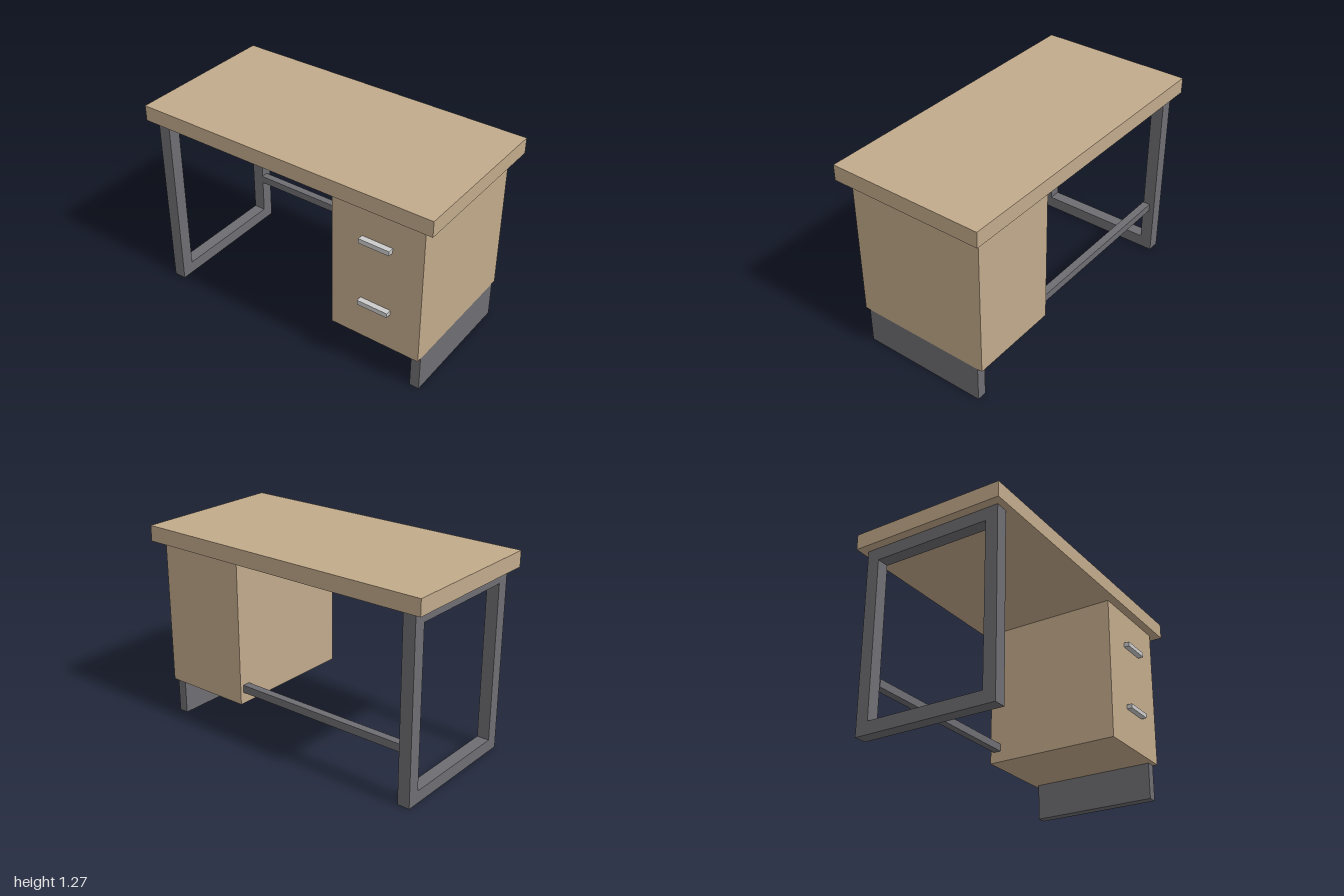
import * as THREE from 'three';

const wood = new THREE.MeshStandardMaterial({ color: 0xc2aa8b });
const steel = new THREE.MeshStandardMaterial({ color: 0x6e6d72 });
const handleMetal = new THREE.MeshStandardMaterial({ color: 0xcfd1d3 });

// Box given by its extents on each axis
function box(name, material, [x0, x1], [y0, y1], [z0, z1]) {
  const mesh = new THREE.Mesh(new THREE.BoxGeometry(x1 - x0, y1 - y0, z1 - z0), material);
  mesh.position.set((x0 + x1) / 2, (y0 + y1) / 2, (z0 + z1) / 2);
  mesh.name = name;
  return mesh;
}

// Rectangular loop leg standing in the yz plane
function loopLeg(x0, x1, height, halfDepth, bar) {
  const shape = new THREE.Shape([
    new THREE.Vector2(-halfDepth, 0), new THREE.Vector2(halfDepth, 0),
    new THREE.Vector2(halfDepth, height), new THREE.Vector2(-halfDepth, height),
  ]);
  const inner = halfDepth - bar;
  shape.holes.push(new THREE.Path([
    new THREE.Vector2(-inner, bar), new THREE.Vector2(-inner, height - bar),
    new THREE.Vector2(inner, height - bar), new THREE.Vector2(inner, bar),
  ]));
  const geometry = new THREE.ExtrudeGeometry(shape, { depth: x1 - x0, bevelEnabled: false });
  geometry.rotateY(Math.PI / 2);
  const mesh = new THREE.Mesh(geometry, steel);
  mesh.position.x = x0;
  mesh.name = 'loopLeg';
  return mesh;
}

export function createModel() {
  const desk = new THREE.Group();
  desk.name = 'desk';

  const legTop = 1.17;
  desk.add(box('desktop', wood, [-1, 1], [legTop, 1.27], [-0.5, 0.5]));

  // Supports: open loop on one side, solid panel under the drawers on the other
  desk.add(loopLeg(-0.943, -0.863, legTop, 0.457, 0.08));
  desk.add(box('panelLeg', steel, [0.867, 0.929], [0, legTop], [-0.415, 0.415]));
  desk.add(box('crossbar', steel, [-0.863, 0.34], [0.31, 0.36], [-0.423, -0.373]));

  // Drawer cabinet with two handles
  const drawers = new THREE.Group();
  drawers.name = 'drawerCabinet';
  drawers.add(box('cabinet', wood, [0.333, 0.93], [0.237, legTop], [-0.447, 0.447]));
  for (const y of [0.487, 0.92]) {
    drawers.add(box('drawerHandle', handleMetal, [0.533, 0.733], [y, y + 0.03], [0.447, 0.483]));
  }
  desk.add(drawers);

  return desk;
}
